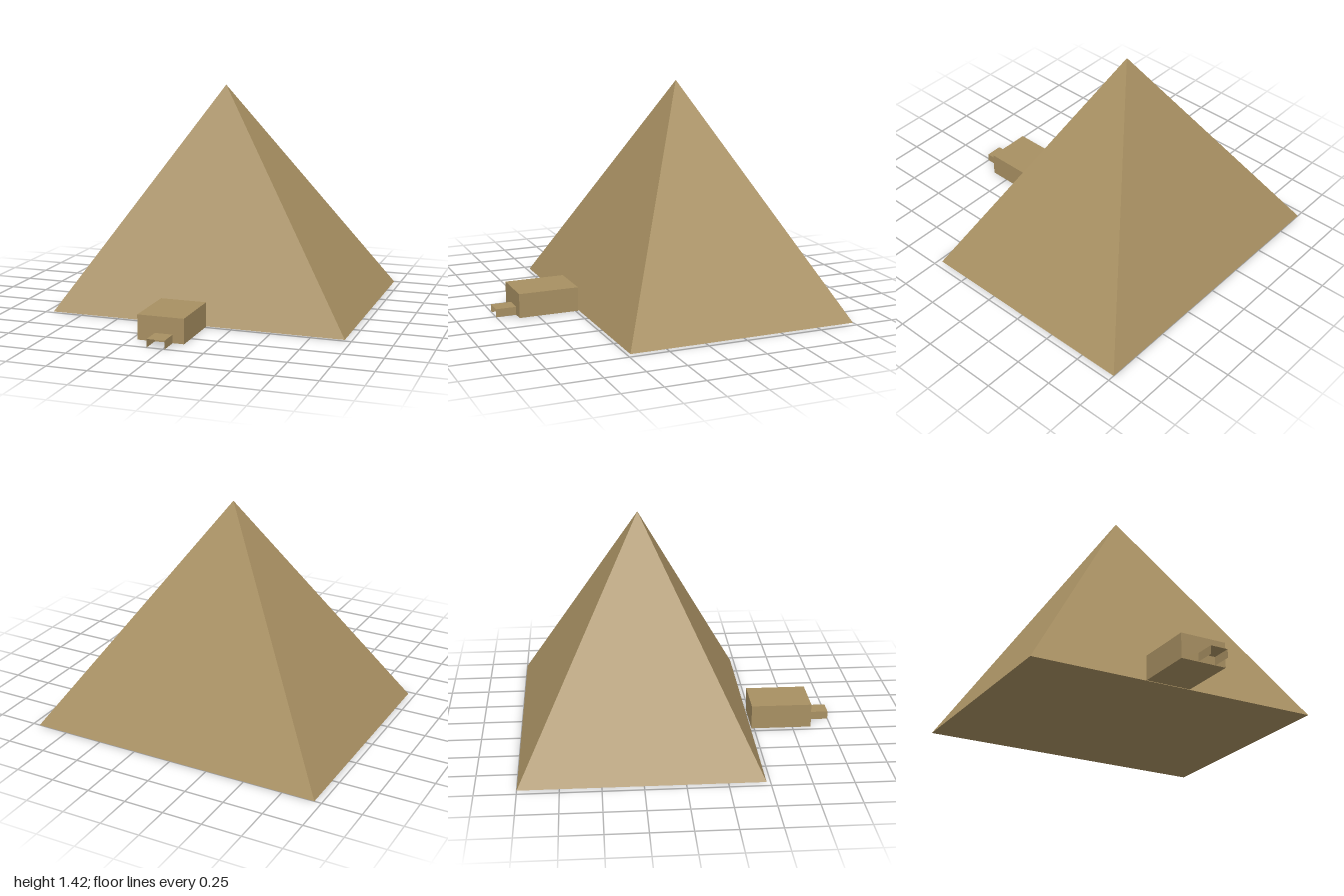
import * as THREE from 'three';

export function createModel() {
  const group = new THREE.Group();
  const sandstone = new THREE.MeshStandardMaterial({ color: 0xa89062, side: THREE.DoubleSide, flatShading: true });

  const add = (name, geometry, x = 0, y = 0, z = 0) => {
    const mesh = new THREE.Mesh(geometry, sandstone);
    mesh.name = name;
    mesh.position.set(x, y, z);
    group.add(mesh);
    return mesh;
  };

  // Pyramid with a slightly off-centre apex and a closed base
  const apex = [-0.03, 1.42, -0.235];
  const base = [[-0.955, 0, 0.477], [0.955, 0, 0.477], [0.955, 0, -1], [-0.955, 0, -1]];
  const points = [];
  base.forEach((corner, i) => points.push(...corner, ...base[(i + 1) % 4], ...apex));
  points.push(...base[0], ...base[2], ...base[1], ...base[0], ...base[3], ...base[2]);
  const pyramid = new THREE.BufferGeometry();
  pyramid.setAttribute('position', new THREE.Float32BufferAttribute(points, 3));
  pyramid.computeVertexNormals();
  add('pyramid', pyramid);

  // Entrance chamber in front of the pyramid
  add('entranceChamber', new THREE.BoxGeometry(0.295, 0.155, 0.387), -0.064, 0.0775, 0.6765);

  // Low porch of thin sheets: a roof on two side walls, open at the front
  const depth = 0.13, height = 0.052, left = 0.012, right = -0.1, z = 0.935;
  add('porchRoof', new THREE.PlaneGeometry(left - right, depth).rotateX(-Math.PI / 2), (left + right) / 2, height, z);
  add('porchWallLeft', new THREE.PlaneGeometry(depth, height).rotateY(Math.PI / 2), left, height / 2, z);
  add('porchWallRight', new THREE.PlaneGeometry(depth, height).rotateY(-Math.PI / 2), right, height / 2, z);

  return group;
}
